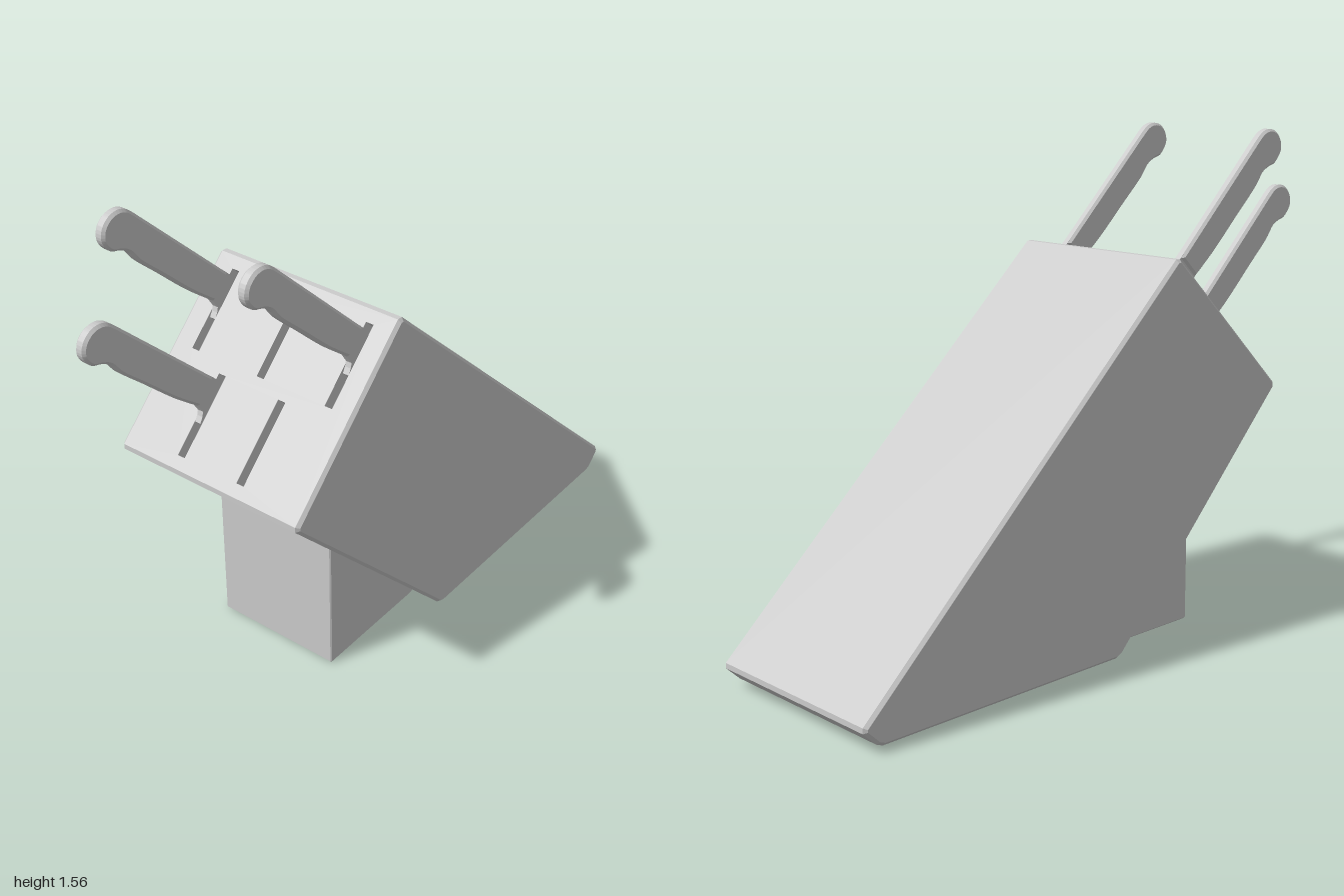
import * as THREE from 'three';
import { toCreasedNormals } from 'three/addons/utils/BufferGeometryUtils.js';

const grey = new THREE.MeshStandardMaterial({ color: 0xcccccc });

function addMesh(parent, name, geometry) {
  const mesh = new THREE.Mesh(geometry, grey);
  mesh.name = name;
  parent.add(mesh);
  return mesh;
}

// Side outline in (z, y), extruded across x with a chamfered rim, centred on x = 0
function sideExtrude(shape, width, bevel) {
  const depth = width - 2 * bevel;
  return new THREE.ExtrudeGeometry(shape, {
    depth, bevelEnabled: bevel > 0, bevelThickness: bevel, bevelSize: bevel,
    bevelOffset: -bevel, bevelSegments: 1, curveSegments: 24,
  }).translate(0, 0, -depth / 2).rotateY(-Math.PI / 2);
}

const toShape = (pts) => new THREE.Shape(pts.map(([a, b]) => new THREE.Vector2(a, b)));

// Cut every corner of a polygon by a fixed length
function chamfer(pts, cut) {
  const v = pts.map(([a, b]) => new THREE.Vector2(a, b));
  const toward = (a, b) => a.clone().add(b.clone().sub(a).setLength(cut));
  return new THREE.Shape(v.flatMap((p, i) => [
    toward(p, v[(i + v.length - 1) % v.length]), toward(p, v[(i + 1) % v.length]),
  ]));
}

// Drop the triangles that face along a direction
function withoutFace(geometry, dir) {
  const p = geometry.attributes.position;
  const tri = new THREE.Triangle(), n = new THREE.Vector3(), kept = [];
  for (let i = 0; i < p.count; i += 3) {
    tri.setFromAttributeAndIndices(p, i, i + 1, i + 2);
    if (tri.getNormal(n).dot(dir) < 0.999) kept.push(...tri.a, ...tri.b, ...tri.c);
  }
  const out = new THREE.BufferGeometry();
  out.setAttribute('position', new THREE.Float32BufferAttribute(kept, 3));
  out.computeVertexNormals();
  return out;
}

// Inside-out box without a lid, its opening at local z = 0
function slotGeometry(w, h, depth) {
  const g = new THREE.BoxGeometry(w, h, depth).translate(0, 0, -depth / 2).scale(-1, 1, 1);
  const index = Array.from(g.index.array);
  index.splice(24, 6);
  g.setIndex(index);
  g.computeVertexNormals();
  return g;
}

function createKnife() {
  const knife = new THREE.Group();
  // Handle: straight spine, swelling belly and rounded butt
  const handle = new THREE.Shape();
  handle.moveTo(0.307, 1.187);
  handle.lineTo(0.372, 1.123);
  handle.splineThru([
    [0.463, 1.198], [0.57, 1.299], [0.65, 1.374], [0.687, 1.42], [0.716, 1.438],
    [0.751, 1.451], [0.777, 1.487], [0.773, 1.524], [0.747, 1.55], [0.714, 1.557],
    [0.684, 1.548], [0.66, 1.529],
  ].map(([a, b]) => new THREE.Vector2(a, b)));
  handle.closePath();
  addMesh(knife, 'handle', toCreasedNormals(sideExtrude(handle, 0.035, 0.008), 0.45));
  // Bolster with the heel of the blade running into the slot
  addMesh(knife, 'blade', sideExtrude(toShape([
    [0.32, 1.2], [0.268, 1.149], [-0.02, 0.85], [0.08, 0.76], [0.366, 1.058],
    [0.356, 1.076], [0.352, 1.092], [0.362, 1.108], [0.376, 1.13],
  ]), 0.02, 0));
  return knife;
}

export function createModel() {
  const model = new THREE.Group();
  model.name = 'knifeBlock';

  // Leaning block, open on the slotted face
  const cut = 0.012, halfWidth = 0.33, rim = 0.01;
  const low = [0.695, 0.75], high = [0.22, 1.205];
  const dz = low[0] - high[0], dy = high[1] - low[1], length = Math.hypot(dz, dy);
  const outline = chamfer([low, high, [-1, 0.07], [-0.938, 0.01], [-0.02, 0.01]], cut);
  const normal = new THREE.Vector3(0, dz, dy).normalize();
  addMesh(model, 'block', withoutFace(sideExtrude(outline, halfWidth * 2, rim), normal));

  // Slotted face, built flat and tilted into place
  const face = new THREE.Group();
  face.name = 'slottedFace';
  face.position.set(0, low[1], low[0]);
  face.rotation.x = -Math.atan2(dz, dy);
  model.add(face);

  const rect = (x0, y0, x1, y1) => [[x0, y0], [x1, y0], [x1, y1], [x0, y1]];
  const w = halfWidth - rim;
  const plate = toShape(rect(-w, cut, w, length - cut));
  const slotWidth = 0.026, slotLength = 0.26;
  const slots = [[-0.245, 0.477], [0, 0.477], [0.245, 0.477], [-0.12, 0.181], [0.1, 0.181]];
  for (const [x, y] of slots) {
    const hw = slotWidth / 2, hl = slotLength / 2;
    plate.holes.push(toShape(rect(x - hw, y - hl, x + hw, y + hl)));
    addMesh(face, 'slot', slotGeometry(slotWidth, slotLength, 0.5)).position.set(x, y, 0);
  }
  addMesh(face, 'facePlate', new THREE.ShapeGeometry(plate));

  // Foot propping up the front overhang
  addMesh(model, 'foot', sideExtrude(
    toShape([[0.405, 0.004], [0.405, 0.45], [0.36, 0.44], [-0.06, 0.012], [-0.025, 0.004], [0.0, 0], [0.4, 0]]),
    0.43, 0.004));

  // Knives: two in the upper row, one in the lower row
  for (const [x, y, z] of [[-0.245, 0, 0], [0.245, 0, 0], [-0.12, -0.197, 0.217]]) {
    const knife = createKnife();
    knife.name = 'knife';
    knife.position.set(x, y, z);
    model.add(knife);
  }
  return model;
}
